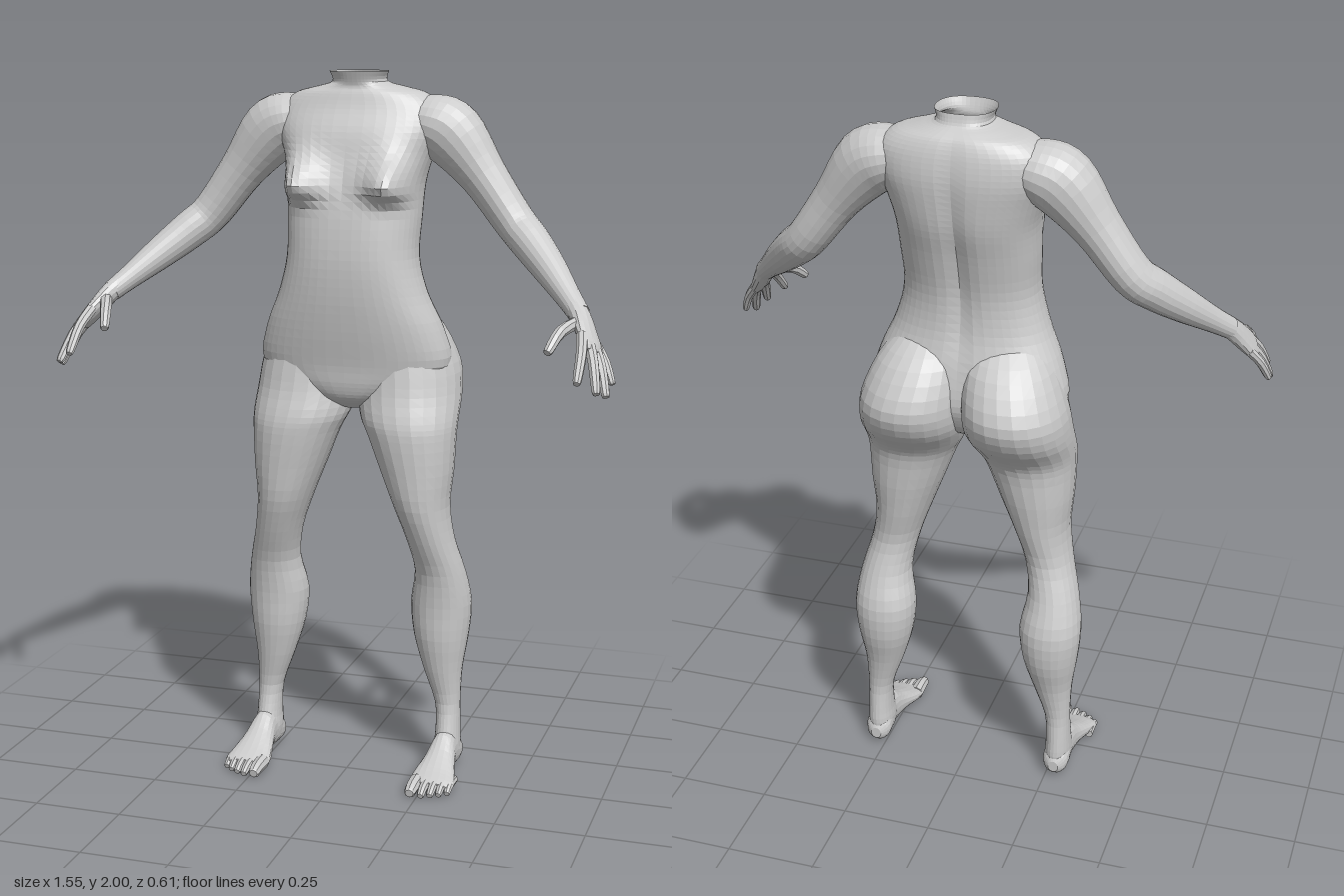
import * as THREE from 'three';

const skin = new THREE.MeshStandardMaterial({ color: 0xcccccc, flatShading: true, side: THREE.DoubleSide });

// Smoothly resample rows of numbers (Catmull-Rom), n steps per interval
function resample(rows, n) {
  const out = [], last = rows.length - 1;
  for (let i = 0; i < last; i++) {
    const a = rows[Math.max(i - 1, 0)], b = rows[i], c = rows[i + 1], d = rows[Math.min(i + 2, last)];
    for (let k = 0; k < n; k++) {
      const t = k / n;
      out.push(b.map((v, j) => v + 0.5 * t * (c[j] - a[j]
        + t * (2 * a[j] - 5 * v + 4 * c[j] - d[j] + t * (3 * (v - c[j]) + d[j] - a[j])))));
    }
  }
  out.push(rows[last]);
  return out;
}

// Skin a list of rings, with optional flat caps
function skinRings(name, rings, capStart, capEnd) {
  const seg = rings[0].length, pos = [], idx = [];
  rings.forEach(r => r.forEach(p => pos.push(p.x, p.y, p.z)));
  for (let i = 0; i < rings.length - 1; i++) {
    for (let j = 0; j < seg; j++) {
      const a = i * seg + j, b = i * seg + (j + 1) % seg;
      idx.push(a, b, a + seg, b, b + seg, a + seg);
    }
  }
  const cap = (i, flip) => {
    const c = rings[i].reduce((s, p) => s.add(p), new THREE.Vector3()).divideScalar(seg);
    const m = pos.length / 3;
    pos.push(c.x, c.y, c.z);
    for (let j = 0; j < seg; j++) {
      const a = i * seg + j, b = i * seg + (j + 1) % seg;
      if (flip) idx.push(m, b, a); else idx.push(m, a, b);
    }
  };
  if (capStart) cap(0, true);
  if (capEnd) cap(rings.length - 1, false);
  const g = new THREE.BufferGeometry();
  g.setAttribute('position', new THREE.Float32BufferAttribute(pos, 3));
  g.setIndex(idx);
  g.computeVertexNormals();
  const mesh = new THREE.Mesh(g, skin);
  mesh.name = name;
  return mesh;
}

// Sections [s, a0, a1, b0, b1]: rounded outlines stacked along one axis
function stack(name, rows, { seg = 24, n = 3, power = 2.1, place, openStart = false }) {
  const pw = v => Math.sign(v) * Math.abs(v) ** (2 / power);
  const rings = resample(rows, n).map(([s, a0, a1, b0, b1]) => Array.from({ length: seg }, (_, j) => {
    const t = j / seg * Math.PI * 2;
    return place(s, (a0 + a1) / 2 + (a1 - a0) / 2 * pw(Math.cos(t)), (b0 + b1) / 2 + (b1 - b0) / 2 * pw(Math.sin(t)));
  }));
  return skinRings(name, rings, !openStart, true);
}

// Points [x, y, z, r, rRef]: oval tube along a path, rRef measured along ref
function limb(name, rows, { ref = [0, 0, 1], seg = 10, n = 3 } = {}) {
  const pts = resample(rows, n), refV = new THREE.Vector3(...ref);
  const at = i => new THREE.Vector3(...pts[Math.min(Math.max(i, 0), pts.length - 1)].slice(0, 3));
  const rings = pts.map((p, i) => {
    const t = at(i + 1).sub(at(i - 1)).normalize();
    const u = refV.clone().cross(t).normalize(), v = t.clone().cross(u);
    return Array.from({ length: seg }, (_, j) => {
      const w = j / seg * Math.PI * 2;
      return at(i).addScaledVector(u, p[3] * Math.cos(w)).addScaledVector(v, p[4] * Math.sin(w));
    });
  });
  return skinRings(name, rings, true, true);
}

// Finger or toe with a rounded tip
function digit(name, base, mid, tip, r, ref) {
  const end = tip.map((v, i) => v + (mid[i] - v) * 0.1);
  return limb(name, [[...base, r * 1.1, r * 1.1], [...mid, r, r], [...end, r * 0.8, r * 0.8], [...tip, r * 0.3, r * 0.3]], { ref, seg: 8 });
}

// Chest swellings and the groove of the spine
function shapeTorso(y, x, z) {
  const dx = (Math.abs(x) - 0.137) / 0.066, dy = (y - 1.695) / (y > 1.695 ? 0.08 : 0.036);
  const front = THREE.MathUtils.clamp((z + 0.1) / 0.1, 0, 1);
  let dz = 0.088 * front * Math.exp(-dx * dx - dy * dy);
  if (z < -0.14) dz += 0.018 * Math.exp(-((x / 0.03) ** 2) - ((y - 1.6) / 0.25) ** 2);
  return new THREE.Vector3(x, y, z + dz);
}

function makeTorso() {
  const rows = [
    [2.0, 0.08, -0.19, -0.04], [1.972, 0.075, -0.2, -0.05], [1.957, 0.125, -0.22, -0.052],
    [1.94, 0.185, -0.237, -0.045], [1.9, 0.228, -0.252, -0.03], [1.84, 0.232, -0.26, 0],
    [1.77, 0.207, -0.256, 0.02], [1.7, 0.19, -0.245, 0.04], [1.61, 0.187, -0.218, 0.06],
    [1.5, 0.185, -0.192, 0.07], [1.4, 0.21, -0.19, 0.065], [1.3, 0.253, -0.21, 0.05],
    [1.2, 0.272, -0.22, 0.03], [1.14, 0.2, -0.2, 0.022], [1.1, 0.11, -0.17, 0.005], [1.07, 0.03, -0.12, -0.04]
  ].map(([y, x, b, f]) => [y, -x, x, b, f]);
  return stack('torso', rows, { seg: 48, n: 4, power: 2.4, place: shapeTorso, openStart: true });
}

// Leg with buttock, foot and toes, on the +x side
function makeLeg() {
  const leg = new THREE.Group();
  leg.add(stack('thighAndCalf', [
    [1.37, 0.03, 0.19, -0.17, -0.03], [1.3, 0.003, 0.243, -0.25, 0], [1.2, 0, 0.284, -0.306, 0.015],
    [1.12, 0.002, 0.295, -0.285, 0.03], [1.05, 0.02, 0.297, -0.222, 0.05], [1.0, 0.045, 0.295, -0.197, 0.055],
    [0.9, 0.085, 0.29, -0.185, 0.05], [0.8, 0.125, 0.281, -0.17, 0.04], [0.7, 0.16, 0.294, -0.157, 0.01],
    [0.6, 0.177, 0.32, -0.18, -0.025], [0.5, 0.16, 0.335, -0.21, -0.04], [0.4, 0.17, 0.327, -0.205, -0.045],
    [0.3, 0.2, 0.312, -0.177, -0.06], [0.2, 0.235, 0.308, -0.16, -0.075], [0.12, 0.24, 0.31, -0.164, -0.06],
    [0.07, 0.237, 0.312, -0.167, -0.045], [0.03, 0.242, 0.308, -0.162, -0.05]
  ], { place: (s, a, b) => new THREE.Vector3(a, s, b) }));
  leg.add(stack('foot', [
    [-0.17, 0.26, 0.29, 0.02, 0.055], [-0.145, 0.238, 0.312, 0.004, 0.09], [-0.07, 0.24, 0.312, 0.004, 0.125],
    [-0.01, 0.23, 0.322, 0.01, 0.09], [0.05, 0.215, 0.337, 0.005, 0.058], [0.085, 0.213, 0.343, 0.004, 0.043],
    [0.105, 0.222, 0.33, 0.008, 0.034]
  ], { seg: 20, place: (s, a, b) => new THREE.Vector3(a, b, s) }));
  [[0.233, 0.157, 0.019], [0.264, 0.154, 0.013], [0.288, 0.144, 0.0125], [0.31, 0.131, 0.012], [0.33, 0.114, 0.012]]
    .forEach(([x, z, r], i) => leg.add(digit('toe' + (i + 1), [x, 0.024, z - 0.08], [x, 0.024, z - 0.035], [x, r * 0.9, z], r, [0, 1, 0])));
  return leg;
}

// Arm, palm, fingers and thumb, on the +x side
function makeArm() {
  const arm = new THREE.Group();
  arm.add(limb('upperArmAndForearm', [
    [0.13, 1.87, -0.14, 0.05, 0.07], [0.2, 1.86, -0.14, 0.08, 0.09], [0.262, 1.828, -0.137, 0.09, 0.087],
    [0.35, 1.722, -0.132, 0.065, 0.068], [0.44, 1.602, -0.122, 0.056, 0.063], [0.495, 1.55, -0.085, 0.054, 0.058],
    [0.56, 1.49, -0.025, 0.046, 0.048], [0.625, 1.428, 0.045, 0.034, 0.036], [0.665, 1.39, 0.09, 0.029, 0.032]
  ], { seg: 20, n: 4 }));
  const across = [-0.03, 0.04, 0.07];
  arm.add(limb('palm', [
    [0.645, 1.41, 0.068, 0.028, 0.032], [0.668, 1.386, 0.095, 0.027, 0.034], [0.695, 1.345, 0.135, 0.023, 0.046],
    [0.715, 1.315, 0.163, 0.018, 0.05], [0.724, 1.302, 0.175, 0.01, 0.04]
  ], { ref: across, seg: 14 }));
  const fingers = {
    indexFinger: [[0.69, 1.35, 0.175], [0.7, 1.31, 0.235], [0.702, 1.245, 0.3]],
    middleFinger: [[0.705, 1.335, 0.165], [0.728, 1.285, 0.215], [0.747, 1.215, 0.268]],
    ringFinger: [[0.715, 1.32, 0.145], [0.742, 1.27, 0.18], [0.764, 1.2, 0.222]],
    littleFinger: [[0.718, 1.315, 0.12], [0.747, 1.275, 0.14], [0.77, 1.222, 0.162]]
  };
  for (const [name, [a, b, c]] of Object.entries(fingers)) {
    arm.add(digit(name, a, b, c, name === 'littleFinger' ? 0.0125 : 0.0145, across));
  }
  arm.add(digit('thumb', [0.672, 1.375, 0.115], [0.637, 1.358, 0.195], [0.615, 1.312, 0.255], 0.016, [1, 0, 0]));
  return arm;
}

export function createModel() {
  const model = new THREE.Group();
  model.name = 'figure';
  model.add(makeTorso());
  for (const [side, sx] of [['left', 1], ['right', -1]]) {
    const leg = makeLeg(), arm = makeArm();
    leg.name = side + 'Leg';
    arm.name = side + 'Arm';
    leg.scale.x = arm.scale.x = sx;
    model.add(leg, arm);
  }
  return model;
}
